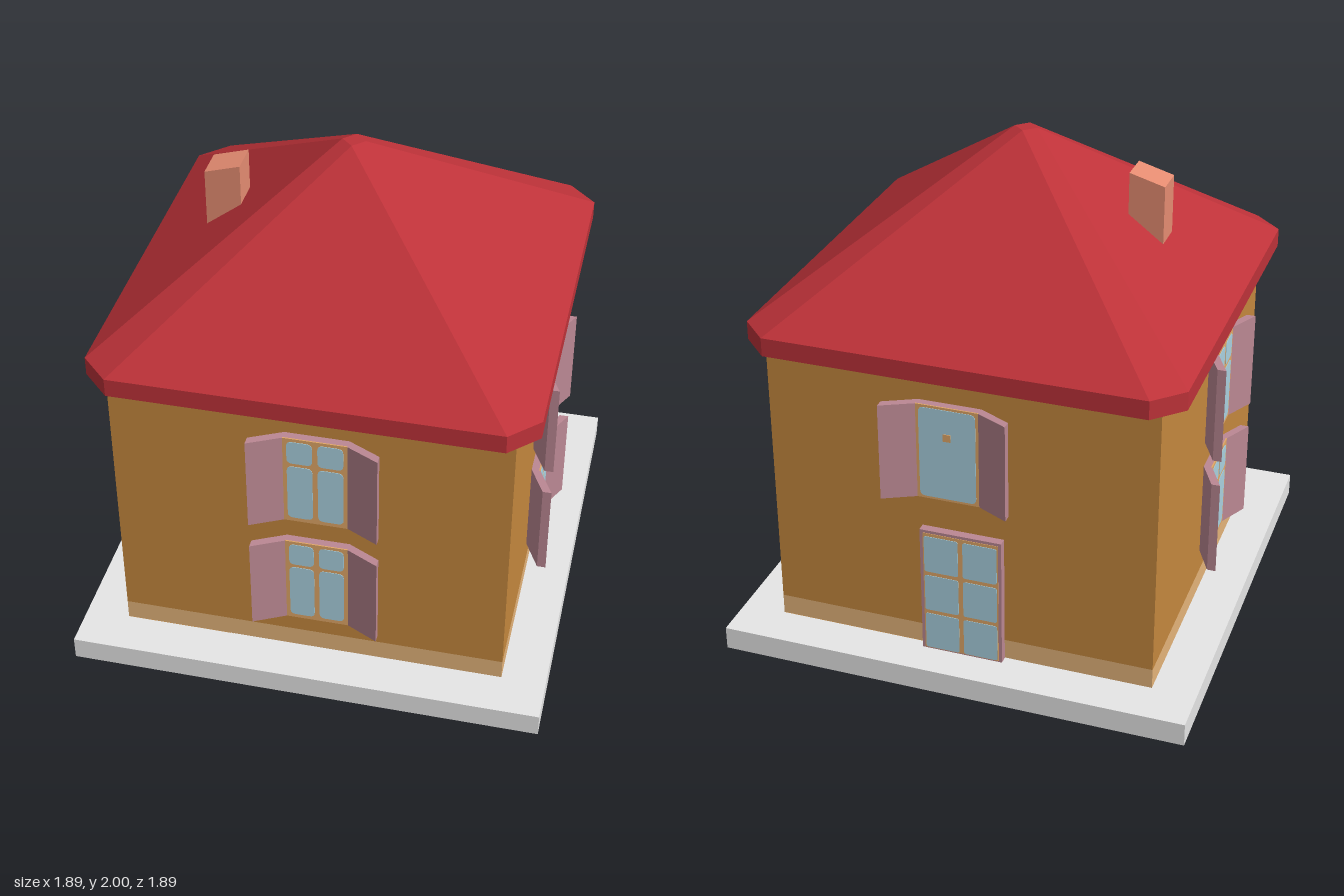
import * as THREE from 'three';
import { ConvexGeometry } from 'three/addons/geometries/ConvexGeometry.js';

const mat = (name, color) => new THREE.MeshStandardMaterial({ name, color });

export function createModel() {
  const M = {
    slab: mat('grey concrete', 0xe6e6e6),
    wall: mat('ochre plaster', 0xc5883e),
    plinth: mat('pale tan plinth', 0xe5b47a),
    roof: mat('red roof', 0xbe3239),
    chimney: mat('terracotta', 0xe68d72),
    shutter: mat('mauve wood', 0xbb8893),
    frame: mat('tan frame', 0xe2a868),
    glass: mat('blue glass', 0xaad2e0),
  };
  M.slab.side = THREE.DoubleSide;
  const model = new THREE.Group();
  model.name = 'house';

  const add = (parent, name, geometry, material) => {
    const m = new THREE.Mesh(geometry, material);
    m.name = name;
    parent.add(m);
    return m;
  };
  // Box given by its centre in x and z, and its bottom and top
  const box = (parent, name, material, w, y0, y1, d, x = 0, z = 0) =>
    add(parent, name, new THREE.BoxGeometry(w, y1 - y0, d).translate(x, (y0 + y1) / 2, z), material);

  // Thin pane with rounded corners, standing at depth z
  const pane = (parent, x0, x1, y0, y1, z, r = 0.022) => {
    const s = new THREE.Shape();
    s.moveTo(x0 + r, y0);
    s.lineTo(x1 - r, y0);
    s.quadraticCurveTo(x1, y0, x1, y0 + r);
    s.lineTo(x1, y1 - r);
    s.quadraticCurveTo(x1, y1, x1 - r, y1);
    s.lineTo(x0 + r, y1);
    s.quadraticCurveTo(x0, y1, x0, y1 - r);
    s.lineTo(x0, y0 + r);
    s.quadraticCurveTo(x0, y0, x0 + r, y0);
    const g = new THREE.ExtrudeGeometry(s, { depth: 0.002, bevelEnabled: false, curveSegments: 4 });
    return add(parent, 'glassPane', g.translate(0, 0, z), M.glass);
  };

  // Base: a hollow slab, open underneath
  const W = 0.77, SLAB = 0.095;
  const slab = box(model, 'baseSlab', M.slab, 1.892, 0, SLAB, 1.892).geometry;
  const faces = Array.from(slab.index.array);
  faces.splice(18, 6);
  slab.setIndex(faces);
  slab.clearGroups();

  // Walls and plinth band, with the wall foot showing under the slab
  box(model, 'plinth', M.plinth, 2 * W, SLAB + 0.001, 0.18, 2 * W);
  box(model, 'walls', M.wall, 2 * W, 0.18, 1.312, 2 * W);
  for (const s of [-1, 1]) {
    box(model, 'wallFoot', M.wall, 2 * W, SLAB - 0.003, SLAB, 0.01, 0, s * (W - 0.005));
    box(model, 'wallFoot', M.wall, 0.01, SLAB - 0.003, SLAB, 2 * W - 0.02, s * (W - 0.005), 0);
  }

  // Hipped roof: chamfered eaves rising to a tiny diamond at the top
  const ring = (a, b, y) => [[b, a], [a, b], [a, -b], [b, -a], [-b, -a], [-a, -b], [-a, b], [-b, a]]
    .map(([x, z]) => new THREE.Vector3(x, y, z));
  const top = ring(0.045, 0, 2).filter((p, i) => i % 2 === 0);
  add(model, 'roof', new ConvexGeometry([
    ...ring(0.855, 0.744, 1.31), ...ring(0.855, 0.744, 1.385), ...top]), M.roof);

  // Chimney with a slanted top
  const ch = new THREE.BoxGeometry(0.14, 0.46, 0.13);
  const cp = ch.attributes.position;
  for (let i = 0; i < cp.count; i++) {
    if (cp.getY(i) > 0) cp.setY(i, 0.23 + cp.getX(i) * 0.29);
  }
  ch.computeVertexNormals();
  add(model, 'chimney', ch.translate(-0.493, 1.63, 0.027), M.chimney);

  // Shutter slanting away from the wall towards its free edge
  const shutter = (parent, side) => {
    const g = new THREE.BoxGeometry(0.125, 0.4, 0.035).translate(side * 0.0625, 0, 0.0175);
    const p = g.attributes.position;
    for (let i = 0; i < p.count; i++) p.setZ(i, p.getZ(i) + Math.abs(p.getX(i)) * 0.5);
    g.computeVertexNormals();
    add(parent, side > 0 ? 'leftShutter' : 'rightShutter', g.translate(side * 0.1235, 0, 0), M.shutter);
  };

  // Shuttered window facing +z, centred on its own origin
  const shutteredWindow = (x, y, z, turn, divided) => {
    const g = new THREE.Group();
    g.name = 'window';
    box(g, 'windowCasing', M.shutter, 0.247, -0.2, 0.2, 0.03, 0, 0.015);
    box(g, 'windowFrame', M.frame, 0.247, -0.2, 0.2, 0.005, 0, 0.0325);
    if (divided) {
      for (const s of [-1, 1]) {
        const x0 = s * 0.059;
        pane(g, x0 - 0.049, x0 + 0.049, -0.182, 0.069, 0.035);
        pane(g, x0 - 0.049, x0 + 0.049, 0.084, 0.186, 0.035);
      }
    } else {
      pane(g, -0.112, 0.112, -0.19, 0.19, 0.035);
      box(g, 'windowLatch', M.frame, 0.03, 0.06, 0.09, 0.004, 0, 0.038);
    }
    shutter(g, 1);
    shutter(g, -1);
    g.position.set(x, y, z);
    g.rotation.y = turn;
    model.add(g);
  };
  for (const y of [0.481, 0.99]) {
    shutteredWindow(0.0335, y, W, 0, true);
    shutteredWindow(W, y, 0.0575, Math.PI / 2, true);
    shutteredWindow(-W, y, 0.0575, -Math.PI / 2, true);
  }
  shutteredWindow(0.0335, 0.99, -W, Math.PI, false);

  // Glazed back door with two columns of three panes
  const door = new THREE.Group();
  door.name = 'backDoor';
  box(door, 'doorCasing', M.shutter, 0.33, SLAB, 0.642, 0.034, 0, 0.017);
  box(door, 'doorFrame', M.frame, 0.305, 0.1, 0.63, 0.002, 0, 0.035);
  for (const s of [-1, 1]) {
    for (let r = 0; r < 3; r++) {
      const y = 0.103 + r * 0.177;
      pane(door, s * 0.0785 - 0.069, s * 0.0785 + 0.069, y, y + 0.16, 0.036, 0.01);
    }
  }
  door.position.set(-0.01, 0, -W);
  door.rotation.y = Math.PI;
  model.add(door);

  return model;
}
